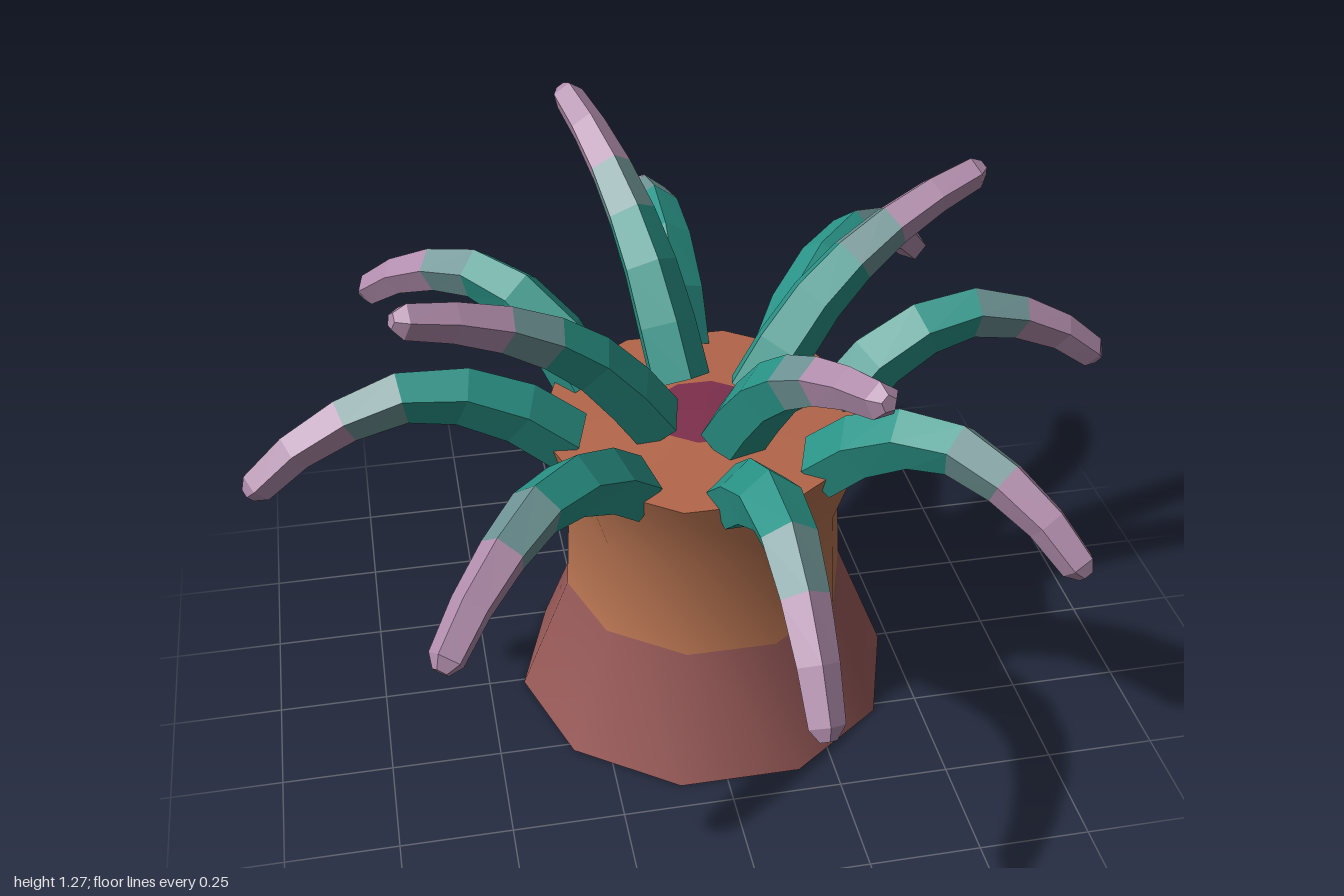
import * as THREE from 'three';

const CENTRE = new THREE.Vector3(0.03, 0, 0.01);
const SIDES = 5;
const TEAL = 0x2a9488, MAUVE_TEAL = 0x6e9394, MAUVE = 0xb08cab;

function mat(color, extra = {}) {
  return new THREE.MeshStandardMaterial({ color, side: THREE.DoubleSide, ...extra });
}

function named(geometry, material, name) {
  const mesh = new THREE.Mesh(geometry, material);
  mesh.name = name;
  return mesh;
}

// Ten-sided turned surface with a flat side facing front and back
function turned(points) {
  const profile = points.map(([r, y]) => new THREE.Vector2(r, y));
  return new THREE.LatheGeometry(profile, 10, Math.PI / 10);
}

// Faceted skin through a list of rings
function skin(rings) {
  const pos = [];
  const tri = (a, b, c) => [a, b, c].forEach(p => pos.push(p.x, p.y, p.z));
  for (let i = 0; i < rings.length - 1; i++) {
    for (let k = 0; k < SIDES; k++) {
      const n = (k + 1) % SIDES;
      const a = rings[i][k], b = rings[i][n], c = rings[i + 1][n], d = rings[i + 1][k];
      tri(a, b, c);
      tri(a, c, d);
    }
  }
  const g = new THREE.BufferGeometry();
  g.setAttribute('position', new THREE.Float32BufferAttribute(pos, 3));
  g.computeVertexNormals();
  return g;
}

// Tapering arm from the disc to a tip; heights are [fraction outward, y]
function tentacle(name, tip, baseRadius, heights) {
  const dir = new THREE.Vector3(tip[0], 0, tip[2]).sub(CENTRE).setY(0);
  const reach = dir.length();
  dir.normalize();
  const curve = new THREE.CatmullRomCurve3(heights.map(([f, y]) =>
    CENTRE.clone().addScaledVector(dir, THREE.MathUtils.lerp(baseRadius, reach, f)).setY(y)));

  // [position along the arm, ring radius]
  const stations = [[0, 0.075], [0.17, 0.073], [0.34, 0.067], [0.5, 0.06],
    [0.66, 0.052], [0.82, 0.045], [0.965, 0.039], [1, 0.018], [1, 0]];
  const side = new THREE.Vector3(0, 1, 0).cross(dir).normalize();
  const rings = stations.map(([t, r]) => {
    const p = curve.getPointAt(t);
    const up = curve.getTangentAt(t).cross(side).normalize();
    return Array.from({ length: SIDES }, (_, k) => {
      const a = k / SIDES * Math.PI * 2;
      return p.clone().addScaledVector(up, r * Math.cos(a)).addScaledVector(side, r * Math.sin(a));
    });
  });

  const group = new THREE.Group();
  group.name = name;
  const bands = [['tentacleBase', 0, 3, TEAL], ['tentacleMiddle', 3, 4, MAUVE_TEAL], ['tentacleTip', 4, 8, MAUVE]];
  for (const [part, from, to, color] of bands) {
    group.add(named(skin(rings.slice(from, to + 1)), mat(color, { flatShading: true }), part));
  }
  return group;
}

export function createModel() {
  const model = new THREE.Group();
  model.name = 'seaAnemone';

  // Flared column, open underneath; one surface with a darker foot
  const body = turned([[0.447, 0], [0.33, 0.29], [0.318, 0.53], [0.382, 0.72]]);
  for (let i = 0; i < 10; i++) {
    body.addGroup(i * 18, 6, 0);
    body.addGroup(i * 18 + 6, 12, 1);
  }
  const column = named(body, [mat(0x985a58), mat(0xb4714f)], 'column');

  // Top disc with a dark mouth
  const disc = named(turned([[0.382, 0.72], [0.13, 0.731]]), mat(0xb3664a), 'oralDisc');
  const mouth = named(turned([[0.13, 0.731], [0, 0.735]]), mat(0x7d2f4c), 'mouth');
  for (const part of [column, disc, mouth]) {
    part.position.copy(CENTRE);
    model.add(part);
  }

  // Outer arms arch up and droop: tip and peak height
  const outer = [
    [[0.03, 0.76, -0.99], 0.93], [[0.73, 0.72, -0.67], 0.91],
    [[0.99, 0.73, -0.05], 0.90], [[0.68, 0.69, 0.70], 0.88],
    [[0.07, 0.60, 0.98], 0.87], [[-0.63, 0.70, 0.76], 0.87],
    [[-0.99, 0.68, 0.07], 0.88], [[-0.70, 0.77, -0.62], 0.92],
  ];
  outer.forEach(([tip, peak]) => {
    const shoulder = peak - (peak - tip[1]) * 0.38;
    model.add(tentacle('outerTentacle', tip, 0.32,
      [[0, 0.71], [0.17, peak - 0.07], [0.45, peak], [0.78, shoulder], [1, tip[1]]]));
  });

  // Inner arms rise and lean outward
  const inner = [[-0.18, 1.24, -0.68], [0.72, 1.17, -0.21], [0.24, 1.15, 0.69], [-0.65, 1.16, 0.22]];
  inner.forEach(tip => {
    const y = f => THREE.MathUtils.lerp(0.74, tip[1], f);
    model.add(tentacle('innerTentacle', tip, 0.13,
      [[0, y(0)], [0.22, y(0.42)], [0.43, y(0.67)], [0.7, y(0.87)], [1, y(1)]]));
  });

  return model;
}
